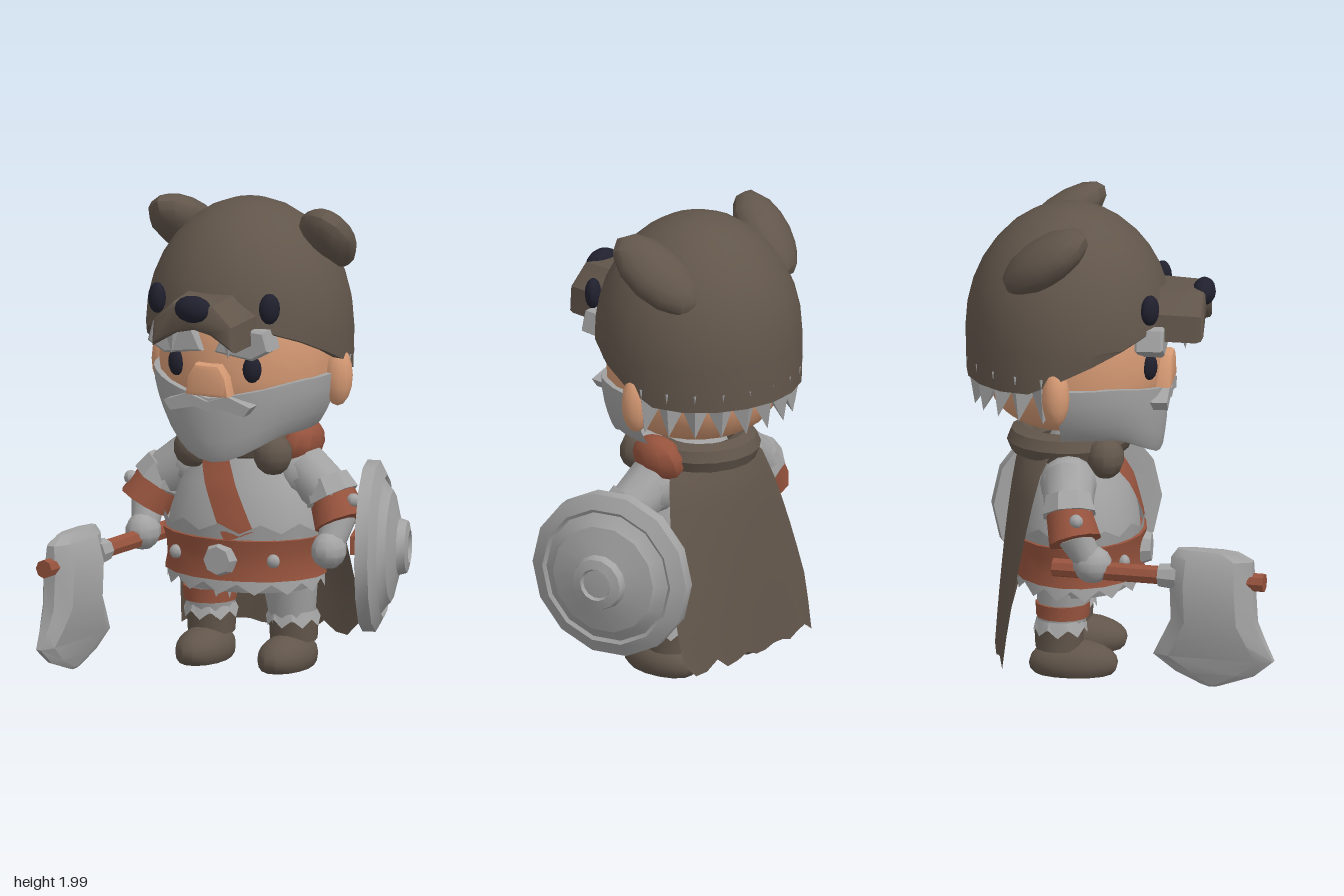
import * as THREE from 'three';
import { toCreasedNormals } from 'three/addons/utils/BufferGeometryUtils.js';
import { ParametricGeometry } from 'three/addons/geometries/ParametricGeometry.js';

const mat = (name, color, side = THREE.FrontSide) => new THREE.MeshStandardMaterial({ name, color, side });
const V = (x, y, z) => new THREE.Vector3(x, y, z);
const { lerp, clamp } = THREE.MathUtils;

export function createModel() {
  const fur = mat('brown fur', 0x62564b, THREE.DoubleSide);
  const grey = mat('grey', 0xa2a3a2, THREE.DoubleSide);
  const skin = mat('skin', 0xd69a74);
  const leather = mat('leather', 0x96533d, THREE.DoubleSide);
  const dark = mat('dark', 0x20202e);

  const root = new THREE.Group();
  const figure = new THREE.Group();
  figure.name = 'figure';
  figure.position.x = -0.06;
  root.add(figure);

  const add = (name, geo, material, pos = [0, 0, 0], rot = [0, 0, 0], parent = figure, crease = 0.65) => {
    const mesh = new THREE.Mesh(toCreasedNormals(geo, crease), material);
    mesh.name = name;
    mesh.position.set(...pos);
    mesh.rotation.set(...rot);
    parent.add(mesh);
    return mesh;
  };
  const blob = (rx, ry, rz, w = 12, h = 8) => new THREE.SphereGeometry(1, w, h).scale(rx, ry, rz);
  const surface = (fn, nu, nv) => new ParametricGeometry((u, v, t) => t.set(...fn(u, v)), nu, nv);
  // Skin over rings listed bottom to top, each running front, left, back, right
  const loft = (rings, closed = true) => {
    const n = rings[0].length, nu = closed ? n : n - 1;
    return surface((u, v) => rings[Math.round(v * (rings.length - 1))][Math.round(u * nu) % n], nu, rings.length - 1);
  };
  const rod = (name, p, q, r0, r1, material, parent = figure, n = 10) => {
    const a = V(...p), b = V(...q), d = b.clone().sub(a);
    const m = add(name, new THREE.CylinderGeometry(r1, r0, d.length(), n), material, a.clone().add(b).multiplyScalar(0.5).toArray(), [0, 0, 0], parent);
    m.quaternion.setFromUnitVectors(V(0, 1, 0), d.normalize());
    return m;
  };
  const lathe = (pts, n) => new THREE.LatheGeometry(pts.map(p => new THREE.Vector2(...p)), n);
  // Band with a zigzag lower edge
  const zigzag = (n, rTop, rBot, yTop, yBot, amp, sz = 1) => loft([0, 1].map(k => Array.from({ length: n * 2 }, (_, i) => {
    const a = i / n * Math.PI, r = k ? rTop : rBot;
    return [r * Math.sin(a), k ? yTop : yBot + (i % 2) * amp, r * Math.cos(a) * sz];
  })));

  // Head
  const headR = t => Math.pow(Math.max(0, 1 - Math.pow(Math.abs(t), 2.8)), 1 / 2.8);
  add('head', surface((u, v) => {
    const a = u * Math.PI * 2, t = -Math.cos(v * Math.PI), r = headR(t);
    return [0.375 * r * Math.sin(a), 1.36 + 0.33 * t, -0.22 + 0.38 * r * Math.cos(a)];
  }, 20, 14), skin);
  add('nose', new THREE.ExtrudeGeometry(new THREE.Shape([[-0.08, 1.24], [0.08, 1.24], [0.07, 1.3], [0.045, 1.34], [-0.045, 1.34], [-0.07, 1.3]].map(p => new THREE.Vector2(...p))),
    { depth: 0.06, bevelSize: 0.02, bevelThickness: 0.02, bevelSegments: 2 }), skin, [0, 0, 0.12]);
  for (const s of [-1, 1]) {
    add('ear', blob(0.065, 0.13, 0.06), skin, [s * 0.395, 1.26, -0.26]);
    add('eye', blob(0.04, 0.058, 0.03), dark, [s * 0.175, 1.34, 0.115], [0, s * 0.4, 0]);
    const brow = new THREE.Shape([[0.04, 1.42], [0.2, 1.4], [0.27, 1.44], [0.25, 1.51], [0.09, 1.52]].map(([x, y]) => new THREE.Vector2(s * x, y)));
    add('eyebrow', new THREE.ExtrudeGeometry(brow, { depth: 0.1, bevelSize: 0.01, bevelThickness: 0.01, bevelSegments: 1 }), grey, [0, 0, 0.07]);
  }

  // Beard: wraps the jaw and drops to a blunt point in front
  const beardRing = (v, inset) => Array.from({ length: 19 }, (_, i) => {
    const a = (i / 9 - 1) * 1.65, k = clamp(1 - Math.abs(a), 0, 1);
    const yb = 1.04 - 0.11 * k * k * (3 - 2 * k), yt = 1.21 + 0.07 * Math.min(1, Math.abs(a));
    const gb = 0.78 + 0.15 * Math.cos(a) ** 2;
    const g = (1 - (1 - gb) * (1 - v) ** 2) * inset;
    return [0.395 * g * Math.sin(a), lerp(yb, yt, v), -0.22 + 0.395 * g * Math.cos(a)];
  });
  add('beard', loft([beardRing(0.12, 0.5), beardRing(0, 0.98), ...[0.1, 0.3, 0.5, 0.75, 1].map(v => beardRing(v, 1)), beardRing(1, 0.92)], false), grey);
  add('moustache', new THREE.ExtrudeGeometry(new THREE.Shape([[0, 1.2], [-0.09, 1.23], [-0.2, 1.19], [-0.17, 1.15], [-0.06, 1.175], [0, 1.16], [0.06, 1.175], [0.17, 1.15], [0.2, 1.19], [0.09, 1.23]].map(p => new THREE.Vector2(...p))),
    { depth: 0.09, bevelEnabled: false }), grey, [0, 0, 0.1]);

  // Tufts of hair under the back of the hood
  for (let i = 0; i < 11; i++) {
    const a = lerp(1.75, Math.PI * 2 - 1.75, i / 10);
    const tuft = add('hairTuft', new THREE.ConeGeometry(0.085, 0.19, 4).rotateX(Math.PI - 0.25), grey, [0.38 * Math.sin(a), 1.23, -0.24 + 0.38 * Math.cos(a)]);
    tuft.rotation.y = a;
  }

  // Bear hood, its rim lifting towards the front
  const hoodRing = k => Array.from({ length: 20 }, (_, i) => {
    const a = i / 20 * Math.PI * 2, c = Math.cos(a), rim = Math.max(1.27, 1.34 + 0.2 * c);
    const t0 = Math.asin(Math.max(0, (rim - 1.45) / 0.54));
    const t = lerp(t0, Math.PI / 2, Math.max(0, k) / 8);
    const r = (k < -1 ? 0.9 : k < 0 ? 0.99 : 1) * Math.cos(t) * 0.44;
    return [r * Math.sin(a), k < 0 ? rim - 0.005 : 1.45 + 0.54 * Math.sin(t), -0.24 + r * c];
  });
  add('hood', loft([-2, -1, 0, 1, 2, 3, 4, 5, 6, 7, 8].map(hoodRing)), fur);
  const snout = new THREE.ExtrudeGeometry(new THREE.Shape([[-0.2, 1.49], [-0.1, 1.55], [0, 1.57], [0.1, 1.55], [0.2, 1.49], [0.19, 1.57], [0.1, 1.645], [-0.1, 1.645], [-0.19, 1.57]].map(p => new THREE.Vector2(...p))),
    { depth: 0.28, bevelSize: 0.02, bevelThickness: 0.03, bevelSegments: 2 });
  const sp = snout.attributes.position;
  for (let i = 0; i < sp.count; i++) if (sp.getZ(i) > 0.2) sp.setXY(i, sp.getX(i) * 0.88, sp.getY(i) - 0.015);
  add('snout', snout, fur, [0, 0, 0.03]);
  add('snoutNose', blob(0.085, 0.058, 0.05), dark, [0, 1.625, 0.325]);
  for (const s of [-1, 1]) {
    add('hoodEar', blob(0.13, 0.095, 0.225), fur, [s * 0.325, 1.83, -0.31], [-0.63, s * 0.25, -s * 0.25]);
    add('hoodEye', blob(0.045, 0.066, 0.035), dark, [s * 0.26, 1.61, 0.125], [0, s * 0.6, 0]);
    add('tooth', new THREE.ConeGeometry(0.03, 0.1, 5), grey, [s * 0.13, 1.46, 0.26], [Math.PI, 0, 0]);
  }

  // Torso
  const profile = [[0, 0.33], [0.29, 0.35], [0.335, 0.45], [0.345, 0.55], [0.33, 0.65], [0.28, 0.8], [0.2, 0.92], [0.14, 1.02], [0.1, 1.06], [0, 1.06]];
  const bodyR = y => {
    const i = profile.findIndex(p => p[1] > y), [r0, y0] = profile[i - 1], [r1, y1] = profile[i];
    return lerp(r0, r1, (y - y0) / (y1 - y0));
  };
  add('torso', lathe(profile, 20).scale(1, 1, 0.76), grey, [0, 0, -0.2]);
  add('chestStrap', surface((u, v) => {
    const y = lerp(0.6, 0.97, v) + (u - 0.5) * 0.05, x = lerp(0.09, -0.1, v) + (u - 0.5) * 0.12, r = bodyR(y) + 0.012;
    return [x, y, -0.19 + 0.76 * Math.sqrt(Math.max(0, r * r - x * x))];
  }, 5, 8), leather);
  add('belt', lathe([[0.32, 0.41], [0.355, 0.41], [0.345, 0.46], [0.35, 0.53], [0.365, 0.585], [0.32, 0.59]], 18).scale(1, 1, 0.78), leather, [0, 0, -0.2]);
  add('mailTrim', zigzag(12, 0.35, 0.36, 0.58, 0.655, -0.04, 0.77), grey, [0, 0, -0.2]);
  add('skirtTrim', zigzag(14, 0.34, 0.345, 0.43, 0.35, 0.045, 0.77), grey, [0, 0, -0.2]);
  add('buckle', new THREE.CylinderGeometry(0.06, 0.078, 0.05, 8), grey, [0.005, 0.5, 0.08], [Math.PI / 2, 0, 0]);
  for (const s of [-1, 1]) add('beltStud', blob(0.03, 0.03, 0.025, 8, 6), grey, [s * 0.225, 0.5, 0.012]);

  // Fur collar, cape and shoulder pad
  add('collar', new THREE.TorusGeometry(0.19, 0.065, 8, 18).rotateX(Math.PI / 2), fur, [0, 0.97, -0.25]);
  for (const s of [-1, 1]) add('collarPaw', blob(0.085, 0.09, 0.08, 10, 7), fur, [s * 0.185, 0.94, -0.07]);
  add('cape', surface((u, v) => {
    const s = u * 2 - 1, i = Math.round(u * 14), w = 0.2 + 0.2 * Math.min(1, Math.sqrt(v) * 1.15);
    const rag = 0.02 * Math.sin(i * 2.3) + 0.025 * (i % 3 - 1);
    return [s * w - 0.03 * v, 0.99 - 0.89 * v + (v > 0.95 ? rag : 0), -0.42 - 0.13 * Math.sqrt(v) + lerp(0.14, 0.05, v) * s * s - 0.02 * s * v];
  }, 14, 8), fur);
  add('shoulderPad', blob(0.085, 0.11, 0.13, 10, 7), leather, [0.24, 0.96, -0.24], [0, 0, -0.35]);

  for (const s of [-1, 1]) {
    // Arm
    const P = (x, y, z) => [s * x, y, z];
    add('shoulder', blob(0.12, 0.12, 0.12), grey, P(0.25, 0.84, -0.22));
    rod('upperArm', P(0.25, 0.86, -0.22), P(0.42, 0.74, -0.2), 0.115, 0.1, grey);
    rod('sleeveTrim', P(0.36, 0.82, -0.21), P(0.4, 0.75, -0.2), 0.1, 0.118, grey, figure, 8);
    rod('bracer', P(0.385, 0.785, -0.21), P(0.455, 0.65, -0.17), 0.095, 0.115, leather);
    add('bracerStud', blob(0.03, 0.03, 0.03, 8, 6), grey, P(0.515, 0.755, -0.16));
    rod('forearm', P(0.44, 0.68, -0.18), P(0.43, 0.57, -0.12), 0.075, 0.06, grey);
    add('hand', blob(0.075, 0.08, 0.085, 10, 7), grey, P(0.43, 0.545, -0.1));

    // Leg and boot
    const x = s * 0.19;
    rod('leg', [x, 0.15, -0.26], [x * 0.95, 0.42, -0.24], 0.09, 0.125, grey);
    add('legTrim', zigzag(8, 0.1, 0.115, 0.24, 0.175, 0.035), grey, [x, 0, -0.26]);
    add('bootCuff', new THREE.CylinderGeometry(0.105, 0.1, 0.09, 12), fur, [x, 0.155, -0.265]);
    const foot = blob(0.112, 0.15, 0.19, 14, 12), p = foot.attributes.position;
    for (let i = 0; i < p.count; i++) p.setY(i, Math.max(0, p.getY(i) * 0.65 + 0.045));
    add('boot', foot, fur, [x, 0, -0.205]);
  }
  add('legStrap', new THREE.CylinderGeometry(0.115, 0.112, 0.06, 12), leather, [-0.19, 0.28, -0.25]);

  // Axe held level in the right hand
  const axe = new THREE.Group();
  axe.name = 'axe';
  axe.position.set(-0.505, 0, 0);
  axe.rotation.y = -0.154;
  root.add(axe);
  rod('axeHandle', [0, 0.52, -0.27], [0, 0.52, 0.645], 0.04, 0.04, leather, axe, 8);
  rod('axeCollar', [0, 0.52, 0.19], [0, 0.52, 0.27], 0.05, 0.058, grey, axe, 8);
  // Blade rows: height, front, back, half thickness
  const rows = [[0.05, 0.43, 0.4, 0], [0.06, 0.46, 0.37, 0.008], [0.11, 0.6, 0.26, 0.022], [0.18, 0.685, 0.165, 0.035], [0.25, 0.65, 0.2, 0.055], [0.34, 0.61, 0.245, 0.075], [0.5, 0.6, 0.24, 0.078], [0.61, 0.595, 0.245, 0.05], [0.645, 0.53, 0.27, 0.03], [0.648, 0.5, 0.3, 0]];
  add('axeBlade', loft(rows.map(([y, f, b, t]) => {
    const c = Math.min(0.07, (f - b) / 3), e = 0.35 * t;
    return [[e, y, f], [t, y, f - c], [t, y, b + c], [e, y, b], [-e, y, b], [-t, y, b + c], [-t, y, f - c], [-e, y, f]];
  })), grey, [0, 0, 0], [0, 0, 0], axe, 0.4);

  // Round shield on the left arm
  const shield = new THREE.Group();
  shield.name = 'shield';
  shield.position.set(0.49, 0.54, -0.27);
  shield.rotation.y = 0.31;
  root.add(shield);
  add('shieldDisc', lathe([[0, 0], [0.3, -0.03], [0.36, -0.03], [0.36, 0.025], [0.3, 0.055], [0.285, 0.045], [0.25, 0.07], [0.235, 0.085], [0.12, 0.115], [0.11, 0.15], [0.07, 0.16], [0.062, 0.145], [0, 0.15]], 14),
    grey, [0, 0, 0], [0, 0, -Math.PI / 2], shield, 0.45);
  add('shieldGrip', new THREE.BoxGeometry(0.06, 0.08, 0.2), leather, [-0.05, 0.02, 0], [0, 0, 0], shield);

  return root;
}
